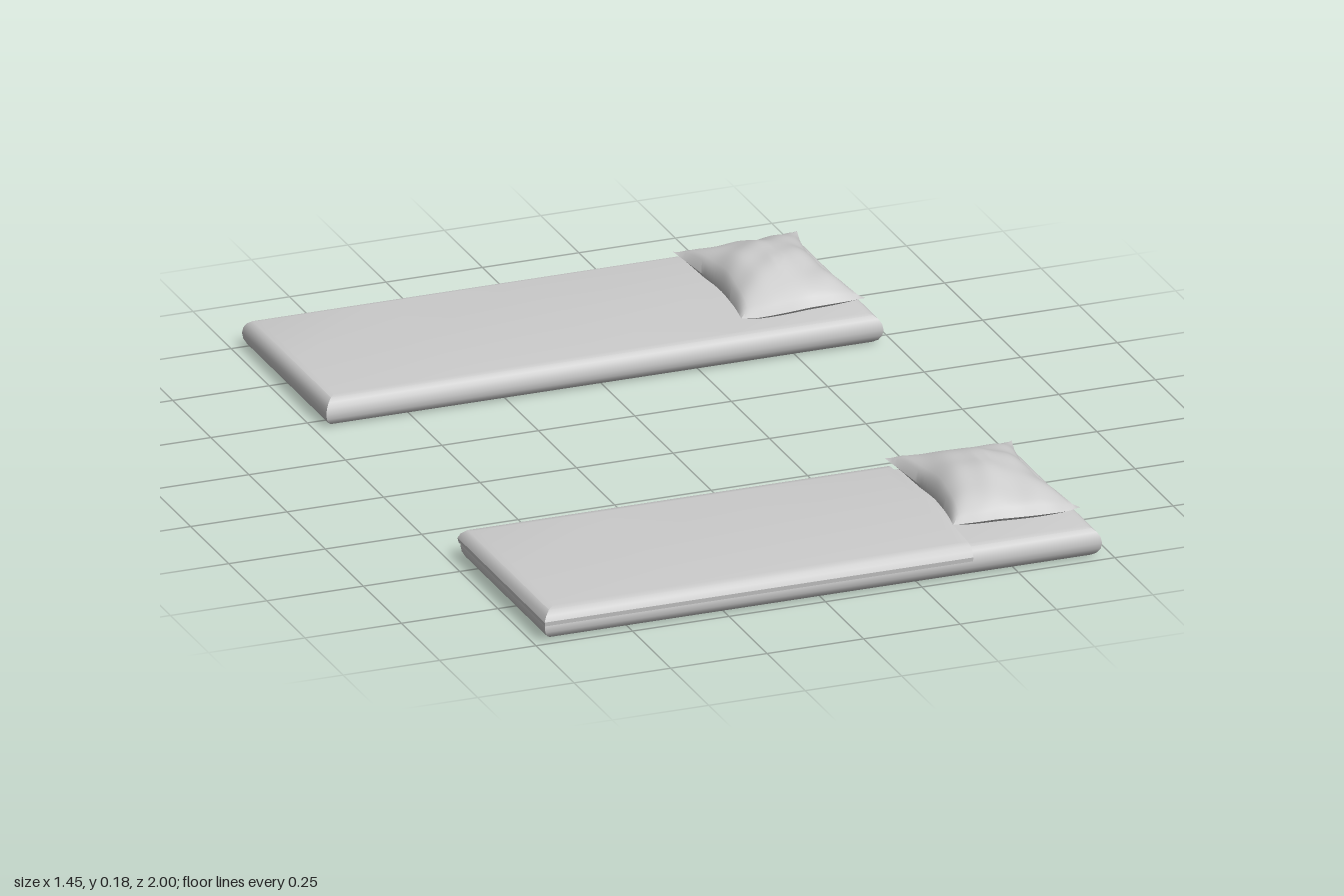
import * as THREE from 'three';
import { mergeGeometries, toCreasedNormals } from 'three/addons/utils/BufferGeometryUtils.js';

const material = new THREE.MeshStandardMaterial({ color: 0xcccccc, side: THREE.DoubleSide });

// Surface from f(i, j) -> [x, y, z]; faces up when i runs along x and j along z
function grid(nu, nv, f) {
  const pos = [], idx = [];
  for (let j = 0; j <= nv; j++) for (let i = 0; i <= nu; i++) pos.push(...f(i, j));
  for (let j = 0; j < nv; j++) for (let i = 0; i < nu; i++) {
    const a = j * (nu + 1) + i, b = a + 1, d = a + nu + 1, c = d + 1;
    idx.push(a, d, b, b, d, c);
  }
  const g = new THREE.BufferGeometry();
  g.setAttribute('position', new THREE.Float32BufferAttribute(pos, 3));
  g.setIndex(idx);
  return g;
}

// Mitred strips round a rectangle, following a profile of [outward, y] points from top to bottom
function rim(x0, x1, hz, profile, sides, openEnd = false) {
  const corner = (k, o) => {
    const right = k === 1 || k === 2, front = k === 0 || k === 1;
    return [right ? x1 + (openEnd ? 0 : o) : x0 - o, front ? hz + o : -hz - o];
  };
  return sides.map(s => grid(1, profile.length - 1, (i, j) => {
    const [o, y] = profile[j];
    const [x, z] = corner((s + i) % 4, o);
    return [x, y, z];
  }));
}

function mesh(name, parts, crease) {
  const m = new THREE.Mesh(toCreasedNormals(mergeGeometries(parts), crease), material);
  m.name = name;
  return m;
}

// Top sheet over the given x stations, raised along its middle
const sheet = (xs, hz, yEdge, crown) => grid(xs.length - 1, 2, (i, j) =>
  [xs[i], yEdge + (j === 1 ? crown[i] : 0), (j - 1) * hz]);

// Slab with half-round sides and a slightly domed top
function mattress() {
  const r = 0.0375, bulge = 0.032, x = 0.69, hz = 0.245;
  const profile = Array.from({ length: 9 }, (_, k) => {
    const a = Math.PI / 2 - k * Math.PI / 8;
    return [bulge * Math.cos(a), r + r * Math.sin(a)];
  });
  const top = sheet([-x, -0.36, 0, 0.36, x], hz, 2 * r, [0, 0.012, 0.014, 0.014, 0]);
  const bottom = grid(1, 1, (i, j) => [(1 - 2 * i) * x, 0, (2 * j - 1) * hz]);
  return mesh('mattress', [top, bottom, ...rim(-x, x, hz, profile, [0, 1, 2, 3])], 0.6);
}

// Cover hanging over the two long sides and the foot end
function blanket() {
  const x0 = -0.69, x1 = 0.385, hz = 0.25, y = 0.082;
  const profile = [[0, y], [0.018, 0.079], [0.03, 0.068], [0.036, 0.055], [0.034, 0.044]];
  const crown = [0, 0.01, 0.012, 0.015, 0.014];
  const top = sheet([x0, -0.36, 0, 0.36, x1], hz, y, crown);
  const hem = grid(2, 1, (i, j) =>
    [x1, y - j * 0.007 + (i === 1 ? crown[4] : 0), (1 - i) * hz]);
  return mesh('blanket', [top, hem, ...rim(x0, x1, hz, profile, [0, 2, 3], true)], 0.6);
}

// Plump cushion with pinched edges and pointed corners; side = 1 or -1 mirrors it in z
function pillow(side) {
  const n = 28;
  const half = dir => grid(n, n, (i, j) => {
    // Rows or columns reversed so each half faces outward
    const u = (2 * i / n - 1) * dir;
    const v = (2 * j / n - 1) * side;
    const pu = 1 - Math.min(1, Math.abs(u - 0.2 * v)) ** 1.5;
    const pv = 1 - Math.abs(v) ** 1.6;
    const x = 0.163 * u * (1 - 0.21 * pv);
    const z = 0.23 * v * (1 - 0.15 * pu);
    const full = (1 - u * u) ** 0.45 * (1 - v * v) ** 0.65;
    const wrinkle = 0.004 * Math.sin(7 * u + 4 * v) * Math.sin(6 * v - 3 * u)
      + 0.003 * Math.cos(11 * u * v + 2 * v);
    const seam = 0.096 + 0.015 * u * u * v * v;
    const y = dir > 0 ? seam + full * (0.08 + wrinkle) : seam - 0.02 * Math.min(1, 2 * full);
    return [x, y, z * side];
  });
  return mesh('pillow', [half(1), half(-1)], 0.9);
}

function bed(name, z, side, covered) {
  const g = new THREE.Group();
  g.name = name;
  const cushion = pillow(side);
  cushion.position.set(0.528, 0, side * 0.017);
  g.add(mattress(), cushion);
  if (covered) g.add(blanket());
  g.position.z = z;
  return g;
}

export function createModel() {
  const model = new THREE.Group();
  model.name = 'beds';
  model.add(bed('rearBed', -0.723, 1, false), bed('frontBed', 0.71, -1, true));
  return model;
}
